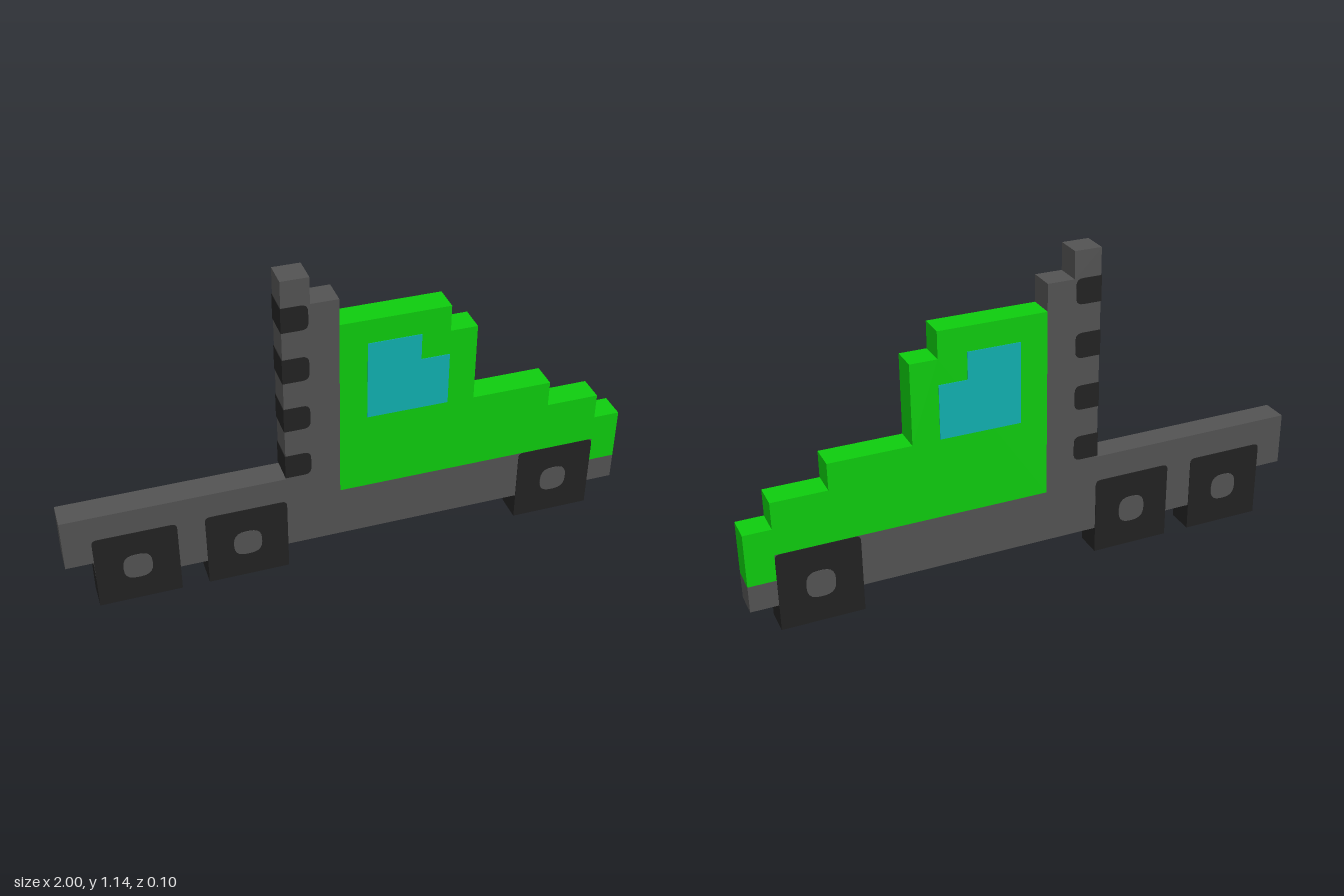
import * as THREE from 'three';

const U = 2 / 21; // one grid cell
const px = (i) => (i - 10.5) * U;
const py = (j) => j * U;

const material = (name, color) => {
  const m = new THREE.MeshStandardMaterial({ color });
  m.name = name;
  return m;
};

// Extrude a shape along z, centred on z = 0
function slab(name, shape, mat, depth) {
  const geo = new THREE.ExtrudeGeometry(shape, { depth, bevelEnabled: false, curveSegments: 5 });
  geo.translate(0, 0, -depth / 2);
  const mesh = new THREE.Mesh(geo, mat);
  mesh.name = name;
  return mesh;
}

// Stepped outline given in grid cells
const outline = (cells) =>
  new THREE.Shape(cells.map(([i, j]) => new THREE.Vector2(px(i), py(j))));

// Rectangle in grid cells; radii: bottom-left, bottom-right, top-right, top-left
function roundedRect(i0, j0, i1, j1, [bl, br, tr, tl]) {
  const [x0, x1, y0, y1] = [px(i0), px(i1), py(j0), py(j1)];
  const [a, b, c, d] = [bl * U, br * U, tr * U, tl * U];
  const s = new THREE.Shape();
  s.moveTo(x0 + a, y0);
  s.lineTo(x1 - b, y0);
  if (b) s.quadraticCurveTo(x1, y0, x1, y0 + b);
  s.lineTo(x1, y1 - c);
  if (c) s.quadraticCurveTo(x1, y1, x1 - c, y1);
  s.lineTo(x0 + d, y1);
  if (d) s.quadraticCurveTo(x0, y1, x0, y1 - d);
  s.lineTo(x0, y0 + a);
  if (a) s.quadraticCurveTo(x0, y0, x0 + a, y0);
  return s;
}

export function createModel() {
  const grey = material('frame grey', 0x535353);
  const black = material('tyre black', 0x222222);
  const green = material('cab green', 0x0ecc0e);
  const teal = material('window teal', 0x10b0b0);

  const truck = new THREE.Group();
  truck.name = 'truck';

  // Flat bed, frame rail and stepped stack in one silhouette
  truck.add(slab('chassis', outline([
    [0, 2], [1, 2], [1, 1], [21, 1], [21, 2], [20, 2], [20, 3], [10, 3],
    [10, 11], [9, 11], [9, 12], [8, 12], [8, 4], [0, 4],
  ]), grey, U));

  // Cab and stepped hood
  truck.add(slab('cab', outline([
    [10, 3], [20, 3], [20, 2], [21, 2], [21, 4], [20, 4], [20, 5], [18, 5],
    [18, 6], [15, 6], [15, 9], [14, 9], [14, 10], [10, 10],
  ]), green, U));

  // Side windows, showing on both faces
  truck.add(slab('sideWindows', outline([
    [11, 6.03], [14, 6.03], [14, 8.06], [12.95, 8.06], [12.95, 9.08], [11, 9.08],
  ]), teal, U + 0.004));

  // Dark bands wrapped round the exhaust stack
  for (const j of [4, 6, 8, 10]) {
    truck.add(slab('exhaustBand',
      roundedRect(7.98, j + 0.06, 8.93, j + 1, [0, 0.25, 0.25, 0]), black, U + 0.004));
  }

  // Square wheels with rounded hubs
  for (const i of [1, 5, 17]) {
    const wheel = new THREE.Group();
    wheel.name = 'wheel';
    wheel.add(slab('tyre', roundedRect(i, 0, i + 3, 3, [0, 0, 0.2, 0.2]), black, U + 0.004));
    wheel.add(slab('hub',
      roundedRect(i + 0.98, 0.98, i + 2.02, 2.02, [0.45, 0.45, 0.45, 0.45]), grey, U + 0.008));
    truck.add(wheel);
  }

  return truck;
}
